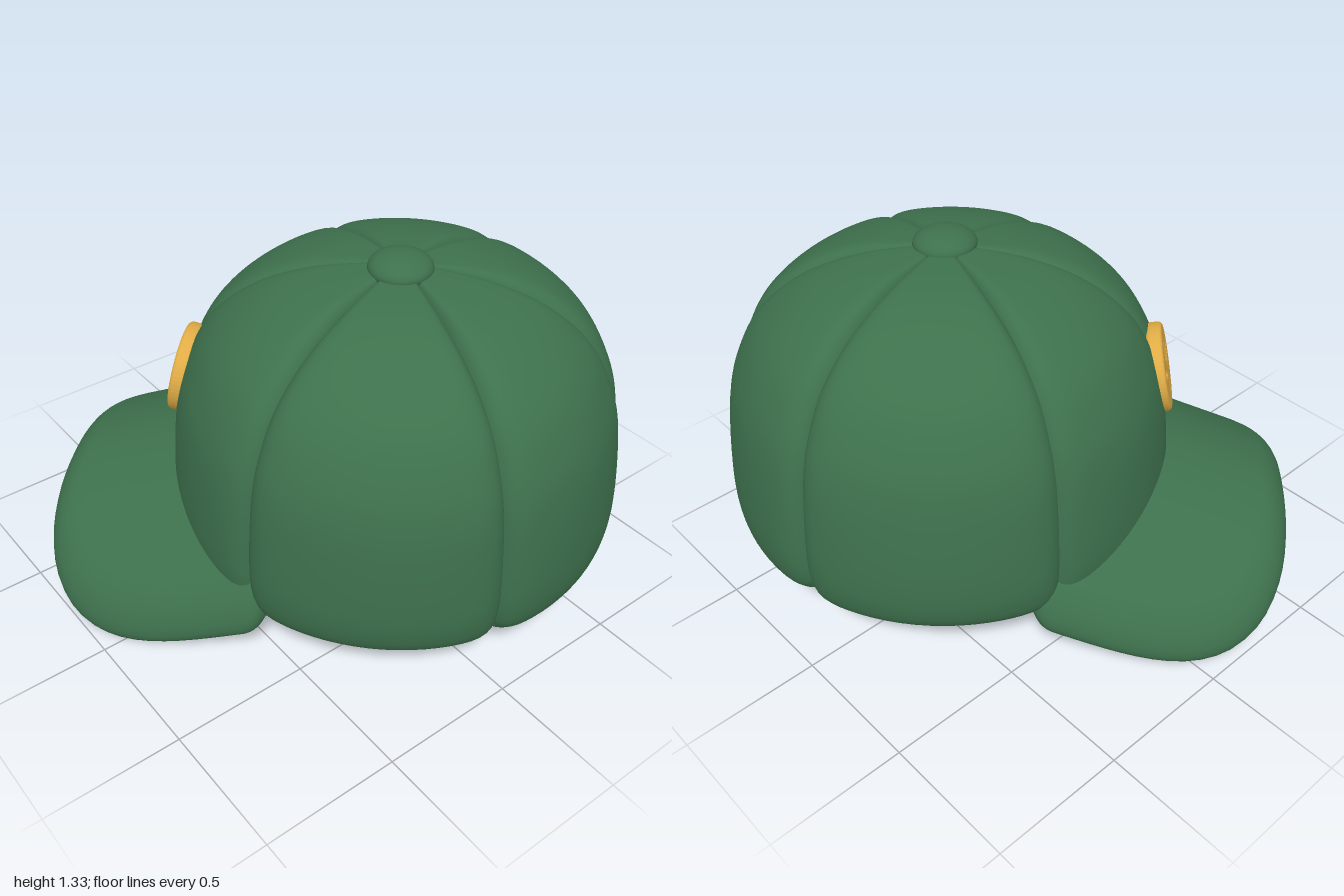
import * as THREE from 'three';

const green = new THREE.MeshStandardMaterial({ color: 0x3e714d });
green.name = 'green cloth';
const gold = new THREE.MeshStandardMaterial({ color: 0xe0ac46 });
gold.name = 'gold badge';

function addMesh(parent, name, geometry, material) {
  const mesh = new THREE.Mesh(geometry, material);
  mesh.name = name;
  parent.add(mesh);
  return mesh;
}

// Crown profile (radius, height) from the closed underside up to the pole
const crownProfile = new THREE.SplineCurve([
  [0, 0.25], [0.4, 0.247], [0.69, 0.225], [0.77, 0.25], [0.806, 0.34], [0.809, 0.5],
  [0.783, 0.75], [0.735, 0.91], [0.647, 1.058], [0.495, 1.18], [0.305, 1.253], [0.1, 1.28], [0, 1.283],
].map(([r, y]) => new THREE.Vector2(r, y)));

// Seam directions around the crown, in degrees from the front, and their depths
const seams = [0, 58, 124, 182, 238, 305, 360].map(THREE.MathUtils.degToRad);
const seamDepths = [0.018, 0.04, 0.042, 0.042, 0.042, 0.035, 0.018];

// One puffy wedge of the crown, sunk in along both seams
function crownPanel(index) {
  const rows = 72, columns = 28;
  const start = seams[index], span = seams[index + 1] - start;
  const points = [], normals = [];
  for (let j = 0; j <= rows; j++) {
    const p = crownProfile.getPoint(j / rows);
    const t = crownProfile.getTangent(j / rows);
    p.x = Math.max(0, p.x);
    points.push(p);
    normals.push(new THREE.Vector2(t.y, -t.x));
  }
  const geometry = new THREE.LatheGeometry(points, columns, start, span);
  const pos = geometry.attributes.position;
  for (let i = 0; i <= columns; i++) {
    const w = Math.sin((i / columns - 0.5) * Math.PI);
    const angle = start + (0.5 + w / 2) * span;
    const depth = seamDepths[w < 0 ? index : index + 1];
    for (let j = 0; j <= rows; j++) {
      const p = points[j], n = normals[j];
      // Seams fade out at the pole and across the flat underside
      const fade = n.y < 0 ? Math.min(1, (p.x / 0.77) ** 10) : Math.min(1, p.x / 0.3);
      const dent = depth * Math.abs(w) ** 12 * fade;
      const r = Math.max(0, p.x - n.x * dent);
      pos.setXYZ(i * (rows + 1) + j, Math.sin(angle) * r, p.y - n.y * dent, Math.cos(angle) * r);
    }
  }
  geometry.computeVertexNormals();
  return geometry;
}

// Rounded plate remapped to a squarish outline, arched and sloped forward,
// its underside filled level with the crown's base
function brimGeometry() {
  const half = 0.1, points = [];
  for (let i = 0; i <= 16; i++) points.push(new THREE.Vector2(0.88 * i / 16, -half));
  for (let i = 1; i < 14; i++) {
    const a = -Math.PI / 2 + Math.PI * i / 14;
    points.push(new THREE.Vector2(0.88 + 0.12 * Math.cos(a), half * Math.sin(a)));
  }
  for (let i = 16; i >= 0; i--) points.push(new THREE.Vector2(0.88 * i / 16, half));
  const geometry = new THREE.LatheGeometry(points, 96, Math.PI);
  const pos = geometry.attributes.position;
  const power = 3.3;
  for (let i = 0; i < pos.count; i++) {
    const x = pos.getX(i), z = pos.getZ(i), r = Math.hypot(x, z);
    const s = r > 0 ? x / r : 0, c = r > 0 ? z / r : 1;
    const k = (Math.abs(s) ** power + Math.abs(c) ** power) ** (-1 / power);
    const px = s * k * r * 0.705;
    const pz = 0.45 + c * k * r * (c > 0 ? 0.815 : 0.16);
    // The middle is thinner below than the drooping sides
    let lift = pos.getY(i);
    if (lift < 0) lift *= 0.7 + 0.3 * Math.min(1, (px / 0.6) ** 2);
    const y = lift + 0.457 - 0.36 * (pz - 0.75) - 0.74 * px * px;
    pos.setXYZ(i, px, lift < -0.01 ? Math.min(y, 0.236) : y, pz);
  }
  geometry.computeVertexNormals();
  return geometry;
}

// Round badge with plain leaf-shaped slots
function badgeGeometry() {
  const disc = new THREE.Shape().absarc(0, 0, 0.149, 0, Math.PI * 2);
  const slots = [
    [0, 0.07, 0.026, 0.062, 0], [0.072, 0.012, 0.028, 0.056, -0.95],
    [-0.072, 0.012, 0.028, 0.056, 0.95], [0, -0.082, 0.017, 0.058, 0],
  ];
  for (const [x, y, rx, ry, turn] of slots) {
    disc.holes.push(new THREE.Path().absellipse(x, y, rx, ry, 0, Math.PI * 2, true, turn));
  }
  return new THREE.ExtrudeGeometry(disc, {
    depth: 0.022, bevelSize: 0.014, bevelThickness: 0.018, bevelSegments: 4, curveSegments: 32,
  });
}

export function createModel() {
  const model = new THREE.Group();
  model.name = 'cap';

  // The cap is turned to one side and leans slightly
  const cap = new THREE.Group();
  cap.name = 'turnedCap';
  cap.position.set(0.192, 0, -0.178);
  cap.rotation.set(0, -0.826, -0.033);
  model.add(cap);

  const crown = new THREE.Group();
  crown.name = 'crown';
  cap.add(crown);
  for (let i = 0; i < 6; i++) addMesh(crown, 'crownPanel' + (i + 1), crownPanel(i), green);

  const button = addMesh(cap, 'topButton', new THREE.SphereGeometry(0.112, 32, 16), green);
  button.scale.y = 0.48;
  button.position.set(0.02, 1.28, 0);

  const brim = addMesh(cap, 'brim', brimGeometry(), green);
  brim.position.x = 0.01;

  const badge = addMesh(cap, 'badge', badgeGeometry(), gold);
  badge.position.set(0.04, 0.8, 0.748);
  badge.rotation.x = -0.2;

  return model;
}
